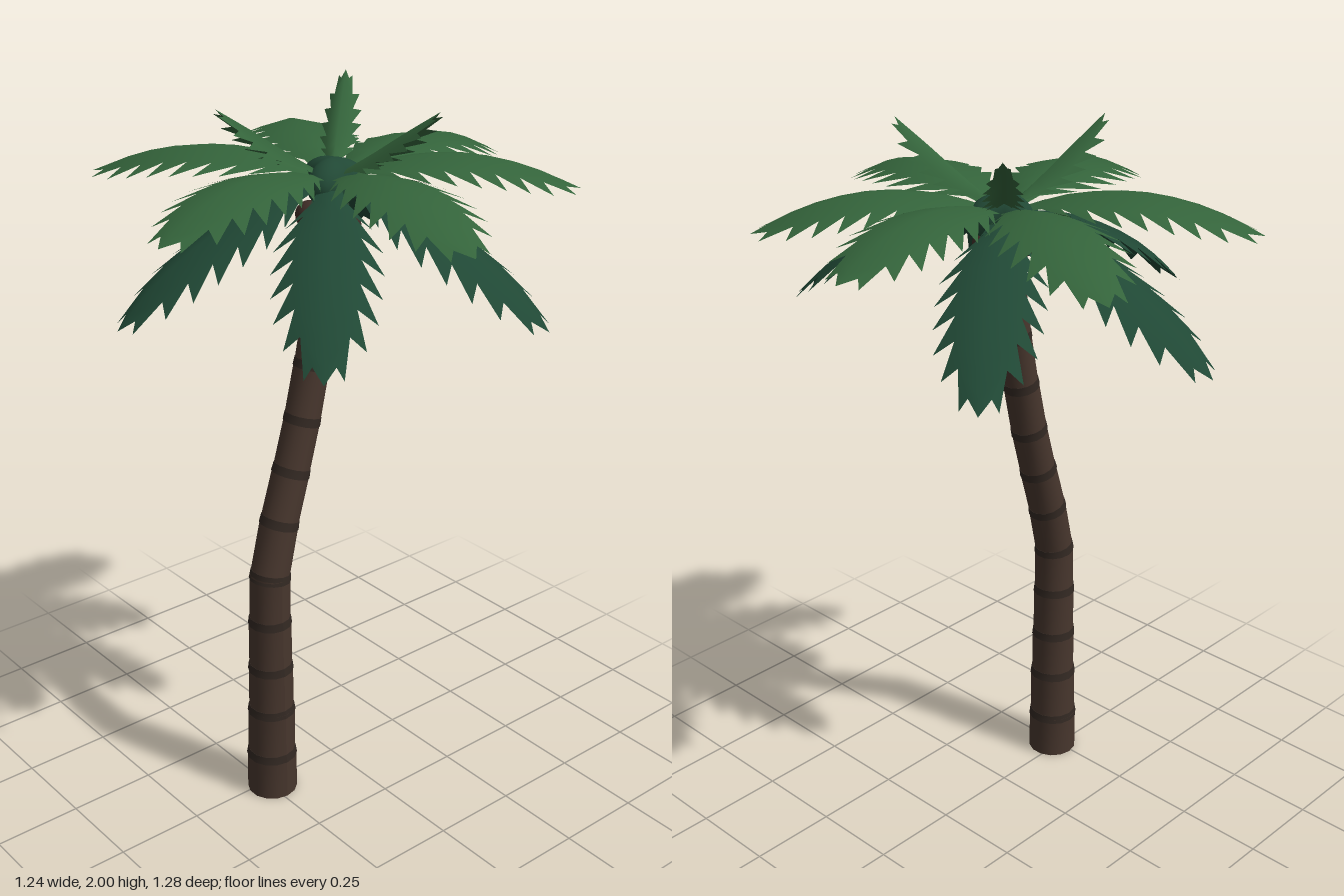
import * as THREE from 'three';

const mat = (color, side = THREE.FrontSide) => new THREE.MeshStandardMaterial({ color, side });
const bark = mat(0x47362d), ringBark = mat(0x322822), nut = mat(0x3d2c26), crownGreen = mat(0x214835);
const lightLeaf = mat(0x34643b, THREE.DoubleSide), darkLeaf = mat(0x204835, THREE.DoubleSide);

// Trunk joints: height, x, z, radius
const joints = [
  [0, -0.24, 0.02, 0.072], [0.13, -0.24, 0.02, 0.068], [0.28, -0.24, 0.022, 0.064], [0.42, -0.24, 0.022, 0.061],
  [0.57, -0.24, 0.022, 0.058], [0.71, -0.237, 0.022, 0.055], [0.86, -0.195, 0.014, 0.053], [1.0, -0.147, 0.008, 0.051],
  [1.14, -0.103, 0.003, 0.05], [1.29, -0.064, -0.002, 0.048], [1.44, -0.032, -0.005, 0.047],
  [1.58, -0.012, -0.005, 0.046], [1.76, 0.005, -0.003, 0.046],
];

// Linear lookup in rows sorted by their first column
function sample(rows, t, col) {
  let i = 0;
  while (i < rows.length - 2 && t > rows[i + 1][0]) i++;
  const a = rows[i], b = rows[i + 1];
  const k = THREE.MathUtils.clamp((t - a[0]) / (b[0] - a[0]), 0, 1);
  return a[col] + (b[col] - a[col]) * k;
}

// Cylinder between two heights, following the bend of the trunk
function trunkPiece(y0, y1, r0, r1, material, name, open) {
  const geo = new THREE.CylinderGeometry(r1, r0, 1, 14, 1, open);
  const p = geo.attributes.position;
  for (let i = 0; i < p.count; i++) {
    const y = y0 + (p.getY(i) + 0.5) * (y1 - y0);
    const slope = (sample(joints, y + 0.04, 1) - sample(joints, y - 0.04, 1)) / 0.08;
    const tilt = Math.atan(slope), x = p.getX(i);
    p.setXYZ(i, sample(joints, y, 1) + x * Math.cos(tilt), y - x * Math.sin(tilt), sample(joints, y, 2) + p.getZ(i));
  }
  geo.computeVertexNormals();
  const mesh = new THREE.Mesh(geo, material);
  mesh.name = name;
  return mesh;
}

// Frond half width along its length, as a share of the widest point
const outline = [[0, 0.2], [0.1, 0.3], [0.22, 0.75], [0.35, 0.97], [0.5, 1], [0.68, 0.92], [0.8, 0.74], [0.9, 0.45], [1, 0.08]];

// Saw-edged frond arching along a path of [radius, height] points
function frond(path, halfWidth, teeth, angle, droop, material, name) {
  const curve = new THREE.CatmullRomCurve3(path.map(([r, y]) => new THREE.Vector3(r, y, 0)));
  const pos = [], index = [];
  const add = (t, w) => {
    const c = curve.getPointAt(Math.min(t, 1)), d = curve.getTangentAt(Math.min(t, 1));
    const fall = droop * Math.pow(Math.abs(w) / halfWidth, 1.3);
    pos.push(c.x + d.y * fall, c.y - d.x * fall, w);
    return pos.length / 3 - 1;
  };
  const width = (t) => halfWidth * sample(outline, t, 1);
  const at = (i) => i / teeth * 0.93;
  const spine = [];
  for (let i = 0; i <= teeth; i++) spine.push(add(at(i), 0));
  const tip = add(1, 0);
  for (const s of [1, -1]) {
    const tri = (a, b, c) => index.push(...(s > 0 ? [a, b, c] : [a, c, b]));
    const edge = spine.map((_, i) => add(at(i), s * width(at(i)) * 0.64));
    for (let i = 0; i < teeth; i++) {
      tri(spine[i], edge[i], spine[i + 1]);
      tri(edge[i], edge[i + 1], spine[i + 1]);
      const t = at(i + 1);
      tri(edge[i], add(t + 0.045, s * width(t) * 1.08), edge[i + 1]);
    }
    tri(spine[teeth], edge[teeth], tip);
  }
  const geo = new THREE.BufferGeometry();
  geo.setAttribute('position', new THREE.Float32BufferAttribute(pos, 3));
  geo.setIndex(index);
  geo.computeVertexNormals();
  const mesh = new THREE.Mesh(geo, material);
  mesh.rotation.y = -THREE.MathUtils.degToRad(angle);
  mesh.name = name;
  return mesh;
}

export function createModel() {
  const tree = new THREE.Group();
  tree.name = 'palmTree';

  // Stepped trunk segments with a dark ring at each joint
  const trunk = new THREE.Group();
  trunk.name = 'trunk';
  for (let i = 0; i < joints.length - 1; i++) {
    const [y0, , , r] = joints[i], y1 = joints[i + 1][0];
    trunk.add(trunkPiece(y0, y1, r, r - 0.001, bark, 'trunkSegment', i > 0));
    if (i > 0) trunk.add(trunkPiece(y0 - 0.012, y0 + 0.012, joints[i - 1][3] + 0.001, r + 0.001, ringBark, 'trunkRing', false));
  }
  tree.add(trunk);

  // Three-lobed bud where the fronds meet
  const budGeo = new THREE.SphereGeometry(1, 24, 14);
  const p = budGeo.attributes.position;
  for (let i = 0; i < p.count; i++) {
    const x = p.getX(i), z = p.getZ(i);
    const r = 0.08 + 0.017 * Math.cos(3 * (Math.atan2(z, x) + Math.PI / 2));
    p.setXYZ(i, x * r, p.getY(i) * 0.065, z * r);
  }
  budGeo.computeVertexNormals();
  const bud = new THREE.Mesh(budGeo, crownGreen);
  bud.position.set(0.005, 1.775, -0.005);
  bud.name = 'crownBud';
  tree.add(bud);

  // Coconuts under the crown
  for (const [x, y, z] of [[-0.005, 1.682, 0.07], [-0.055, 1.695, -0.02], [0.035, 1.695, -0.025]]) {
    const coconut = new THREE.Mesh(new THREE.SphereGeometry(0.038, 16, 12), nut);
    coconut.position.set(x, y, z);
    coconut.name = 'coconut';
    tree.add(coconut);
  }

  // Fronds in three tiers: drooping, spreading and rising; each entry is [angle, reach]
  const tiers = [
    { name: 'lowerFrond', material: darkLeaf, halfWidth: 0.13, teeth: 8, droop: 0.045,
      path: [[0.02, 1.785], [0.2, 1.75], [0.38, 1.675], [0.52, 1.585], [0.63, 1.48]],
      list: [[-96, 1.02], [-38, 0.98], [69, 0.99], [131, 1.03], [-170, 0.97]] },
    { name: 'middleFrond', material: lightLeaf, halfWidth: 0.15, teeth: 9, droop: 0.04,
      path: [[0.02, 1.79], [0.15, 1.835], [0.32, 1.85], [0.48, 1.82], [0.63, 1.755]],
      list: [[-5, 0.99], [38, 1.03], [99, 1.03], [169, 1], [-124, 1.06], [-64, 1.07]] },
    { name: 'upperFrond', material: lightLeaf, halfWidth: 0.05, teeth: 7, droop: 0.045,
      path: [[0.02, 1.8], [0.12, 1.865], [0.22, 1.935], [0.315, 1.998]],
      list: [[-43, 1], [72, 1], [-167, 1]] },
  ];
  for (const { name, material, halfWidth, teeth, droop, path, list } of tiers) {
    for (const [angle, reach] of list) {
      tree.add(frond(path.map(([r, y]) => [r * reach, y]), halfWidth, teeth, angle, droop, material, name));
    }
  }
  return tree;
}
